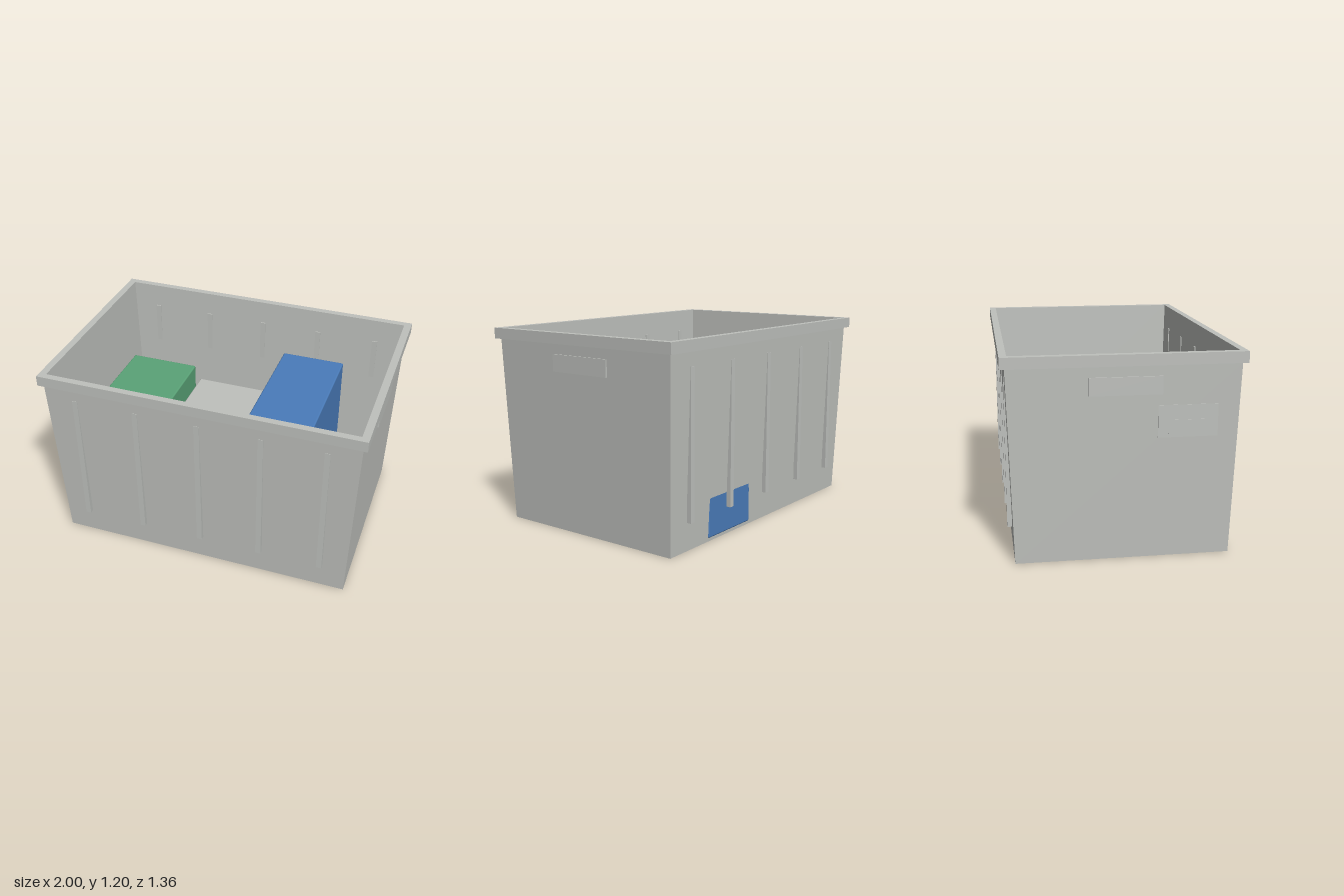
import * as THREE from 'three';
import { RoundedBoxGeometry } from 'three/addons/geometries/RoundedBoxGeometry.js';

// Skin rectangular cross-sections [halfX, y, halfZ]; rising sections face outward
function loftRectangles(sections) {
  const corners = [[1, 1], [1, -1], [-1, -1], [-1, 1]];
  const positions = [];
  const point = ([hx, y, hz], k) => [corners[k % 4][0] * hx, y, corners[k % 4][1] * hz];
  for (let i = 0; i < sections.length - 1; i++) {
    for (let k = 0; k < 4; k++) {
      const a = point(sections[i], k), b = point(sections[i], k + 1);
      const c = point(sections[i + 1], k + 1), d = point(sections[i + 1], k);
      positions.push(...a, ...b, ...c, ...a, ...c, ...d);
    }
  }
  const geometry = new THREE.BufferGeometry();
  geometry.setAttribute('position', new THREE.Float32BufferAttribute(positions, 3));
  geometry.computeVertexNormals();
  return geometry;
}

export function createModel() {
  const grey = new THREE.MeshStandardMaterial({ name: 'grey plastic', color: 0xbfc1bd });
  const blue = new THREE.MeshStandardMaterial({ name: 'blue', color: 0x4a7cba });
  const green = new THREE.MeshStandardMaterial({ name: 'green', color: 0x5aa377 });
  const model = new THREE.Group();
  model.name = 'storageCrate';

  function add(name, geometry, material) {
    const mesh = new THREE.Mesh(geometry, material);
    mesh.name = name;
    model.add(mesh);
    return mesh;
  }

  // Box given by its extents on each axis; a radius rounds its edges
  function addBox(name, material, [x0, x1], [y0, y1], [z0, z1], radius = 0) {
    const size = [x1 - x0, y1 - y0, z1 - z0];
    const geometry = radius
      ? new RoundedBoxGeometry(...size, 2, radius)
      : new THREE.BoxGeometry(...size);
    add(name, geometry, material).position.set((x0 + x1) / 2, (y0 + y1) / 2, (z0 + z1) / 2);
  }

  // Tapered open tub: underside, outer walls, inner walls and floor
  add('tub', loftRectangles([
    [0, 0, 0], [0.935, 0, 0.62], [0.973, 1.135, 0.655],
  ]), grey);
  add('tubInterior', loftRectangles([
    [0.955, 1.2, 0.64], [0.915, 0.03, 0.607], [0, 0.03, 0],
  ]), grey);

  // Lip around the top
  add('rim', loftRectangles([
    [0.96, 1.135, 0.645], [1, 1.135, 0.682], [1, 1.2, 0.682], [0.955, 1.2, 0.64],
  ]), grey);

  // Upright ribs on the long walls; their tops pass through to the inside
  for (const side of [1, -1]) {
    for (let i = -2; i <= 2; i++) {
      const x = i * 0.389, z = [0.628 * side, 0.655 * side].sort((a, b) => a - b);
      addBox('rib', grey, [x - 0.017, x + 0.017], [0.17, 1.05], z);
    }
  }

  // Grip plates on the short walls
  addBox('leftGrip', grey, [0.964, 0.98], [0.97, 1.072], [-0.205, 0.207]);
  addBox('rightGrip', grey, [-0.98, -0.964], [0.97, 1.072], [-0.205, 0.207]);

  // Label plate with a small raised panel on the right wall
  addBox('labelPlate', grey, [-0.969, -0.96], [0.72, 0.905], [0.185, 0.525]);
  addBox('labelPanel', grey, [-0.972, -0.966], [0.74, 0.82], [0.245, 0.455]);

  // Packed boxes; the blue one shows through the lower back wall
  addBox('greenBox', green, [-0.88, -0.418], [0.02, 0.752], [-0.405, 0.395], 0.01);
  addBox('greyBox', grey, [-0.385, 0.125], [0.02, 0.65], [-0.412, 0.42], 0.01);
  addBox('blueBox', blue, [0.16, 0.582], [0.02, 0.845], [-0.628, 0.502], 0.01);

  return model;
}
